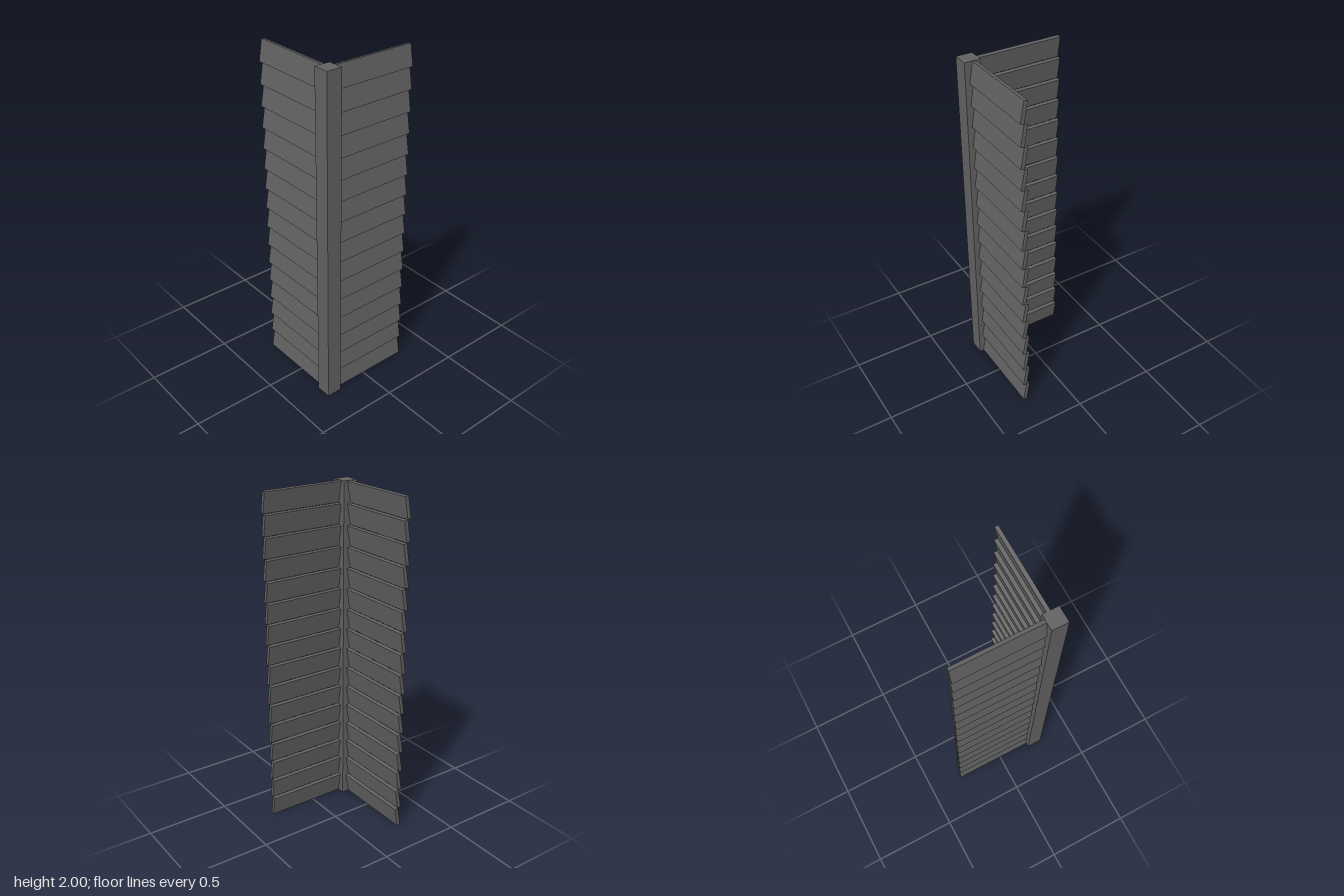
import * as THREE from 'three';

const BOARDS = 16, PITCH = 0.125;
const TILT = 0.171, HEIGHT = 0.122, THICK = 0.022;
const FAR = -0.295, NEAR = 0.22; // run of each wall; the near end is buried in the post

export function createModel() {
  const group = new THREE.Group();
  const grey = new THREE.MeshStandardMaterial({ color: 0x626262 });
  grey.name = 'dark grey';

  // Square corner post
  const post = new THREE.Mesh(new THREE.BoxGeometry(0.092, 2, 0.092), grey);
  post.name = 'cornerPost';
  post.position.set(0.247, 1, 0.247);
  group.add(post);

  // Wall of lapped boards, each leaning out at its lower edge; faces +z
  const boardGeometry = new THREE.BoxGeometry(NEAR - FAR, HEIGHT, THICK);
  const makeWall = (name) => {
    const wall = new THREE.Group();
    wall.name = name;
    for (let i = 0; i < BOARDS; i++) {
      const board = new THREE.Mesh(boardGeometry, grey);
      board.name = 'sidingBoard';
      board.position.y = PITCH * (i + 0.5) - 0.0005;
      board.rotation.x = -TILT;
      wall.add(board);
    }
    group.add(wall);
    return wall;
  };

  const middle = (FAR + NEAR) / 2;
  makeWall('frontWall').position.set(middle, 0, 0.247);
  const sideWall = makeWall('leftWall');
  sideWall.rotation.y = Math.PI / 2;
  sideWall.position.set(0.247, 0, middle);

  return group;
}
